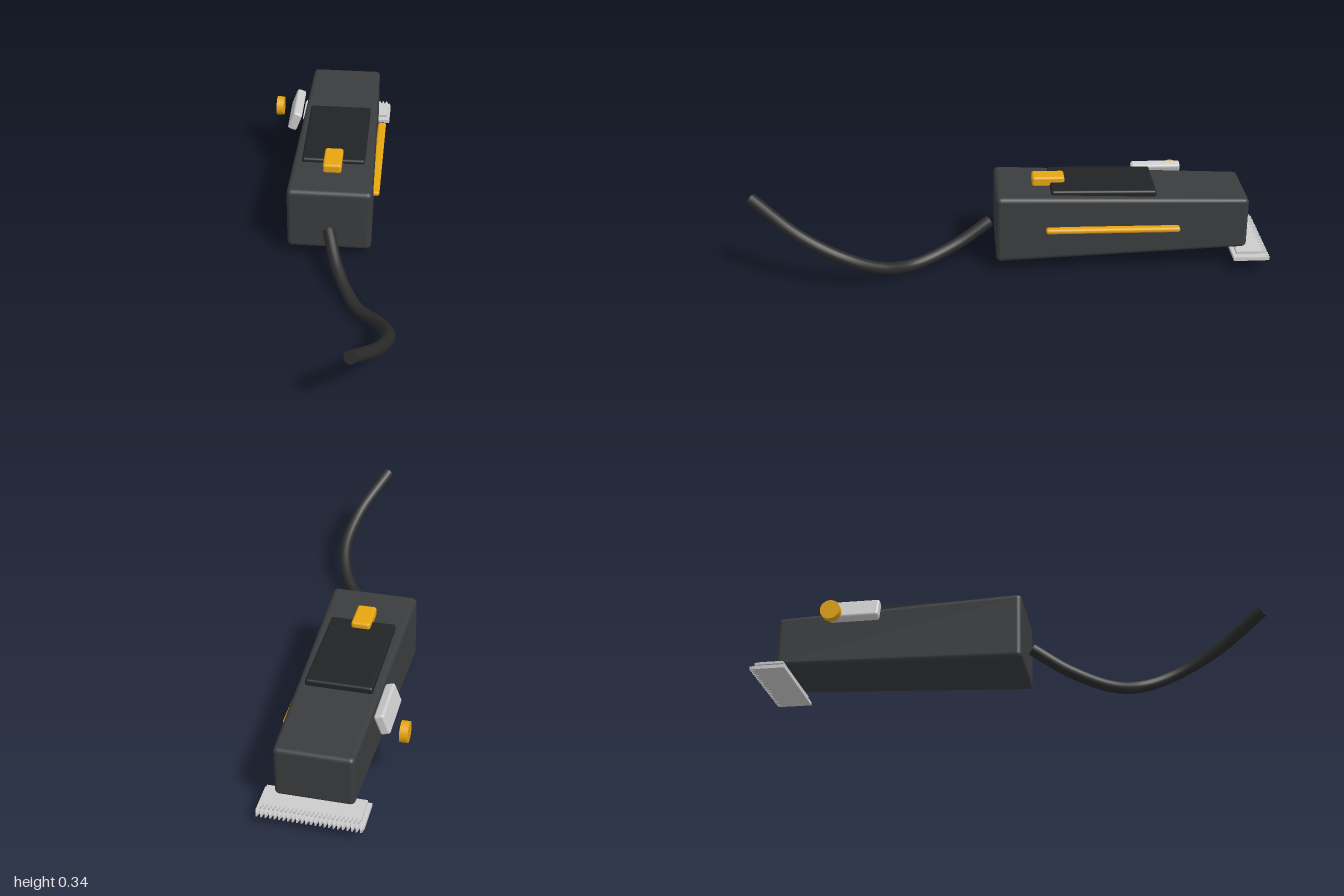
import * as THREE from 'three';
import { RoundedBoxGeometry } from 'three/addons/geometries/RoundedBoxGeometry.js';

const mat = (color) => new THREE.MeshStandardMaterial({ color });

export function createModel() {
  const model = new THREE.Group();
  const dark = mat(0x3a3c3e), black = mat(0x222324), cableMat = mat(0x2a2a2b);
  const gold = mat(0xe6a510), steel = mat(0xcccccc);

  function add(name, geometry, material, x = 0, y = 0, z = 0) {
    const mesh = new THREE.Mesh(geometry, material);
    mesh.name = name;
    mesh.position.set(x, y, z);
    model.add(mesh);
    return mesh;
  }
  const rounded = (w, h, d, r) => new RoundedBoxGeometry(w, h, d, 4, r);

  // Body: rounded box narrowing towards the blade end
  const bodyGeo = rounded(0.333, 0.27, 0.975, 0.02);
  const p = bodyGeo.attributes.position;
  for (let i = 0; i < p.count; i++) {
    const t = 0.5 - p.getZ(i) / 0.975; // 0 at cable end, 1 at blade end
    p.setX(i, p.getX(i) * (1 - 0.14 * t));
    p.setY(i, p.getY(i) * (1 - 0.25 * t) + 0.003 * t);
  }
  add('body', bodyGeo, dark, -0.004, 0.18, -0.4275);

  // Grip panel and slide switch on top
  const panel = add('topPanel', rounded(0.25, 0.03, 0.405, 0.01), black, -0.005, 0.307, -0.355);
  panel.rotation.x = -0.012;
  add('slideSwitch', rounded(0.073, 0.04, 0.126, 0.01), gold, -0.004, 0.325, -0.147);

  // Accent strip on the left flank
  add('sideStrip', rounded(0.034, 0.021, 0.515, 0.0095), gold, 0.165, 0.18, -0.389);

  // Taper lever and its knob on the right flank
  const lever = add('taperLever', rounded(0.039, 0.084, 0.198, 0.01), steel, -0.194, 0.27, -0.592);
  lever.rotation.z = -0.35;
  const knob = add('leverKnob', new THREE.CylinderGeometry(0.039, 0.039, 0.03, 32), gold, -0.272, 0.239, -0.666);
  knob.rotation.z = Math.PI / 2;

  // Toothed blades: outline drawn in plan, extruded upwards
  function blade(name, x0, x1, back, front, y, thickness, teeth) {
    const depth = 0.022, pitch = (x1 - x0) / teeth;
    const s = new THREE.Shape();
    s.moveTo(x0, -back);
    s.lineTo(x1, -back);
    for (let i = teeth; i > 0; i--) {
      const right = x0 + i * pitch;
      s.lineTo(right, -front - depth);
      s.lineTo(right - pitch * 0.35, -front);
      s.lineTo(right - pitch * 0.65, -front);
    }
    s.lineTo(x0, -front - depth);
    s.closePath();
    const geo = new THREE.ExtrudeGeometry(s, { depth: thickness, bevelEnabled: false });
    geo.rotateX(-Math.PI / 2);
    add(name, geo, steel, 0, y, 0);
  }
  blade('lowerBlade', -0.198, 0.188, -0.86, -1.0, 0.047, 0.014, 24);
  blade('upperBlade', -0.185, 0.177, -0.87, -0.985, 0.071, 0.01, 24);

  // Power cable with closed ends
  const path = new THREE.CatmullRomCurve3([
    [-0.003, 0.15, 0.078], [0.045, 0.068, 0.22], [0.125, 0.027, 0.38], [0.215, 0.06, 0.5],
    [0.26, 0.125, 0.635], [0.237, 0.21, 0.8], [0.145, 0.326, 0.985],
  ].map((v) => new THREE.Vector3(...v)));
  const radius = 0.024;
  add('cable', new THREE.TubeGeometry(path, 80, radius, 16), cableMat);
  for (const [t, dir] of [[0, -1], [1, 1]]) {
    const at = path.getPointAt(t);
    const cap = add('cableEnd', new THREE.CircleGeometry(radius, 16), cableMat, at.x, at.y, at.z);
    cap.lookAt(at.clone().addScaledVector(path.getTangentAt(t), dir));
  }

  return model;
}
